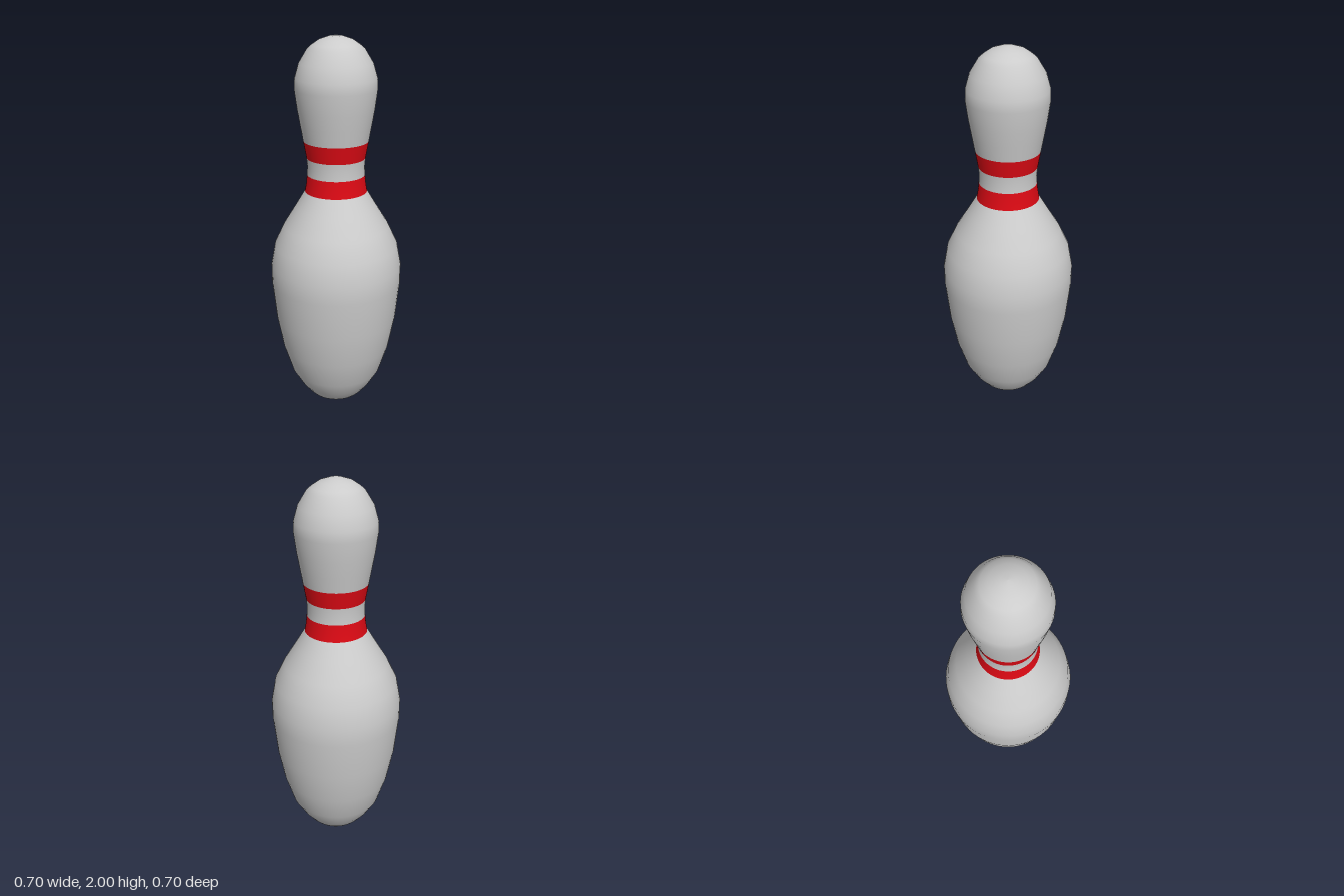
import * as THREE from 'three';

const SIDES = 64;

export function createModel() {
  const group = new THREE.Group();
  const grey = new THREE.MeshStandardMaterial({ color: 0xcccccc });
  const red = new THREE.MeshStandardMaterial({ color: 0xdd0a14 });

  // Turn a [radius, height] profile, listed from bottom to top
  const turn = (name, profile, material) => {
    const points = profile.map(([r, y]) => new THREE.Vector2(r, y));
    const mesh = new THREE.Mesh(new THREE.LatheGeometry(points, SIDES), material);
    mesh.name = name;
    group.add(mesh);
  };

  // Flat foot
  turn('base', [[0, 0], [0.145, 0]], grey);

  // Wide belly up to the neck
  turn('belly', [
    [0.145, 0], [0.16, 0.015], [0.2, 0.065], [0.25, 0.15], [0.297, 0.3], [0.331, 0.48],
    [0.352, 0.69], [0.352, 0.79], [0.33, 0.905], [0.28, 1.01], [0.215, 1.115], [0.164, 1.2],
  ], grey);

  // Neck with two painted stripes
  turn('lowerStripe', [[0.164, 1.2], [0.157, 1.24], [0.152, 1.29]], red);
  turn('neck', [[0.152, 1.29], [0.15, 1.335], [0.154, 1.38]], grey);
  turn('upperStripe', [[0.154, 1.38], [0.161, 1.42], [0.17, 1.47]], red);

  // Rounded head
  turn('head', [
    [0.17, 1.47], [0.184, 1.55], [0.198, 1.63], [0.212, 1.735], [0.21, 1.79], [0.188, 1.865],
    [0.145, 1.935], [0.122, 1.955], [0.085, 1.98], [0.035, 1.997], [0, 2],
  ], grey);

  return group;
}
